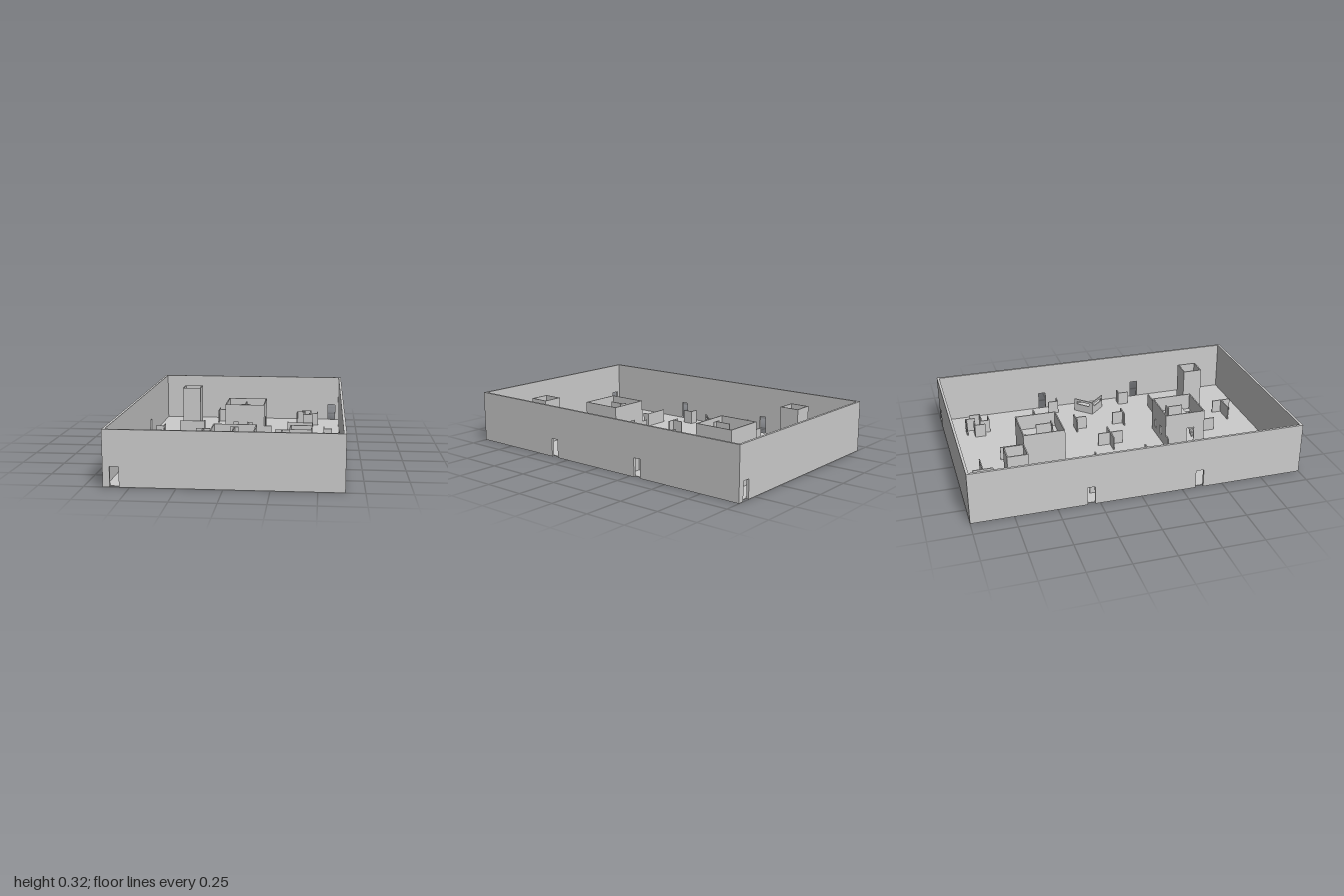
import * as THREE from 'three';

const mat = new THREE.MeshStandardMaterial({ color: 0xcccccc, flatShading: true, side: THREE.DoubleSide });
const T = 0.007;      // thin wall thickness
const COVER = 0.09;   // cover wall height

function rectPath(u0, v0, u1, v1) {
  return new THREE.Path([[u0, v0], [u1, v0], [u1, v1], [u0, v1]].map(p => new THREE.Vector2(...p)));
}

// Upright wall from (x0,z0) to (x1,z1). doors: [u0,u1,height], windows: [u0,v0,u1,v1], u along the wall
function wall(parent, name, [x0, z0, x1, z1], { h = COVER, y = 0, t = T, doors = [], windows = [] } = {}) {
  const len = Math.hypot(x1 - x0, z1 - z0);
  const shape = new THREE.Shape();
  shape.moveTo(0, 0);
  for (const [a, b, dh] of doors) {
    shape.lineTo(a, 0); shape.lineTo(a, dh); shape.lineTo(b, dh); shape.lineTo(b, 0);
  }
  shape.lineTo(len, 0); shape.lineTo(len, h); shape.lineTo(0, h); shape.closePath();
  shape.holes = windows.map(w => rectPath(...w));
  const geo = new THREE.ExtrudeGeometry(shape, { depth: t, bevelEnabled: false }).translate(0, 0, -t / 2);
  const mesh = new THREE.Mesh(geo, mat);
  mesh.name = name;
  mesh.position.set(x0, y, z0);
  mesh.rotation.y = -Math.atan2(z1 - z0, x1 - x0);
  parent.add(mesh);
}

function box(parent, name, [x0, y0, z0], [x1, y1, z1]) {
  const mesh = new THREE.Mesh(new THREE.BoxGeometry(x1 - x0, y1 - y0, z1 - z0), mat);
  mesh.name = name;
  mesh.position.set((x0 + x1) / 2, (y0 + y1) / 2, (z0 + z1) / 2);
  parent.add(mesh);
}

// Horizontal slab with a rectangular opening; rectangles are [x0,z0,x1,z1]
function slab(parent, name, [x0, z0, x1, z1], hole, y, t) {
  const shape = new THREE.Shape(rectPath(x0, -z0, x1, -z1).getPoints());
  shape.holes = [rectPath(hole[0], -hole[1], hole[2], -hole[3])];
  const geo = new THREE.ExtrudeGeometry(shape, { depth: t, bevelEnabled: false }).rotateX(-Math.PI / 2);
  const mesh = new THREE.Mesh(geo, mat);
  mesh.name = name;
  mesh.position.y = y;
  parent.add(mesh);
}

function group(parent, name) {
  const g = new THREE.Group();
  g.name = name;
  parent.add(g);
  return g;
}

// Two-storey house with a stairwell and an open upper deck
function house(parent) {
  const g = group(parent, 'house');
  const e = 0.127, zb = -0.582, zf = -0.329, h = 0.22;
  wall(g, 'houseFront', [-e - T / 2, zf, e + T / 2, zf],
    { h, windows: [[0.053, 0.047, 0.09, 0.102], [0.148, 0.047, 0.184, 0.102]] });
  wall(g, 'houseBack', [-e - T / 2, zb, e + T / 2, zb], { h });
  wall(g, 'houseDoorSide', [e, zf, e, zb], { h, doors: [[0.14, 0.187, 0.113]] });
  wall(g, 'houseBlindSide', [-e, zf, -e, zb], { h });
  slab(g, 'upperFloor', [-e, zb, e, zf], [-0.124, -0.579, 0.055, -0.533], 0.118, 0.007);
  // Stairs climb towards -x and end at a landing
  box(g, 'landing', [-0.124, 0.108, -0.579], [-0.083, 0.115, -0.533]);
  const n = 9, run = 0.138 / n;
  for (let i = 0; i < n; i++) {
    const x = 0.055 - (i + 1) * run, y = (i + 1) * 0.115 / (n + 1);
    box(g, 'stair', [x, y - 0.012, -0.579], [x + run, y, -0.533]);
  }
  // Cover on the deck and outside
  wall(g, 'deckCoverStem', [0, -0.48, 0, -0.38], { h: 0.09, y: 0.125 });
  wall(g, 'deckCoverCap', [-0.026, -0.38, 0.026, -0.38], { h: 0.09, y: 0.125 });
  wall(g, 'sideWing', [e, zf, 0.18, zf], { h: 0.08 });
  wall(g, 'rearWing', [0, zb, 0, -0.71]);
}

// Square lookout tower, open on top, with a hatch in its platform
function tower(parent) {
  const g = group(parent, 'tower');
  const [x0, x1, z0, z1] = [-0.459, -0.342, -0.741, -0.624];
  const o = { h: 0.28 };
  for (const z of [z0, z1]) wall(g, 'towerWall', [x0 - T / 2, z, x1 + T / 2, z], o);
  for (const x of [x0, x1]) wall(g, 'towerWall', [x, z0, x, z1], o);
  slab(g, 'towerPlatform', [x0, z0, x1, z1], [x0 + 0.004, z0 + 0.004, -0.42, -0.702], 0.19, 0.007);
}

// Four bent cover walls around a small yard
function coverCluster(parent) {
  const g = group(parent, 'coverCluster');
  g.position.set(0.41, 0, -0.785);
  for (let i = 0; i < 4; i++) {
    const l = group(g, 'bentCover');
    l.rotation.y = i * Math.PI / 2;
    wall(l, 'bentCoverLong', [-0.04, -0.073, 0.025 + T / 2, -0.073]);
    wall(l, 'bentCoverShort', [0.025, -0.073, 0.025, -0.013]);
  }
}

export function createModel() {
  const model = new THREE.Group();
  model.name = 'arena';
  const X = 0.645, H = 0.315, t = 0.015, xi = X - t / 2, zi = 1 - t / 2;

  // Floor and outer walls
  box(model, 'floor', [-X + t, 0, -1 + t], [X - t, 0.004, 1 - t]);
  for (const s of [1, -1]) {
    wall(model, 'sideWall', [s * xi, 1, s * xi, -1],
      { h: H, t, doors: [[0.62, 0.668, 0.113], [1.28, 1.326, 0.113]] });
    wall(model, 'endWall', [-s * (X - t), s * zi, s * (X - t), s * zi],
      { h: H, t, doors: [[0.023, 0.073, 0.113]] });
  }

  // Parts repeated by a half turn about the centre
  for (const turn of [0, Math.PI]) {
    const half = group(model, turn ? 'frontHalf' : 'backHalf');
    half.rotation.y = turn;
    house(half);
    tower(half);
    coverCluster(half);
    wall(half, 'endCoverStem', [-0.23, -0.855, -0.103, -0.855]);
    wall(half, 'endCoverCap', [-0.23, -0.917, -0.23, -0.793]);
    // Chevron with viewing slots
    for (const s of [1, -1]) {
      wall(half, 'chevronPanel', [-0.437, 0, -0.532, s * 0.096],
        { windows: [[0.02, 0.055, 0.115, 0.075]] });
    }
  }

  // Cover mirrored into all four quarters
  for (const sx of [1, -1]) for (const sz of [1, -1]) {
    const q = group(model, 'quarterCover');
    const m = (name, [a, b, c, d]) => wall(q, name, [sx * a, sz * b, sx * c, sz * d]);
    m('longCover', [0.282, 0.406, 0.452, 0.406]);
    m('longCoverReturn', [0.285, 0.406, 0.285, 0.443]);
    m('cornerCover', [0.53, 0.218, 0.58, 0.218]);
    m('cornerCoverReturn', [0.53, 0.215, 0.53, 0.283]);
    m('teeCoverCap', [0.213, 0.162, 0.305, 0.162]);
    m('teeCoverStem', [0.258, 0.162, 0.258, 0.09]);
  }

  // Central cross
  wall(model, 'crossCover', [-0.08, 0, 0.08, 0]);
  wall(model, 'crossCover', [0, -0.08, 0, 0.08]);
  return model;
}
